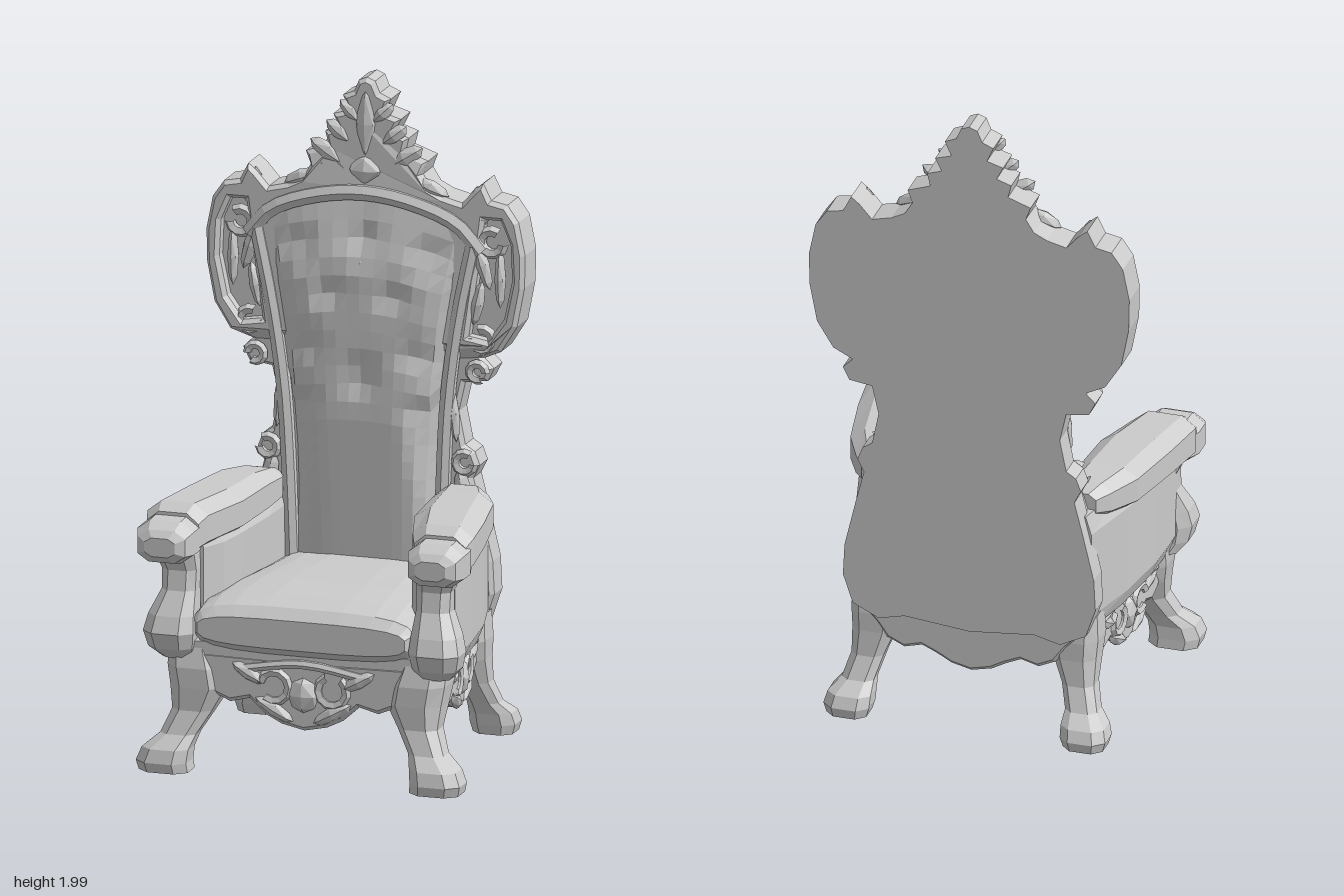
import * as THREE from 'three';

const mat = new THREE.MeshStandardMaterial({ color: 0xcccccc, flatShading: true });
const V = (x, y, z) => new THREE.Vector3(x, y, z);

export function createModel() {
  const model = new THREE.Group();

  function add(name, geo) {
    const g = geo.index ? geo.toNonIndexed() : geo;
    g.computeVertexNormals();
    const m = new THREE.Mesh(g, mat);
    m.name = name;
    model.add(m);
  }

  // Adds a part on the left and its mirror image on the right
  function pair(name, geo) {
    const a = geo.index ? geo.toNonIndexed() : geo;
    const b = a.clone().scale(-1, 1, 1);
    const p = b.attributes.position, t = V(0, 0, 0), u = V(0, 0, 0);
    for (let i = 0; i < p.count; i += 3) {
      t.fromBufferAttribute(p, i + 1);
      u.fromBufferAttribute(p, i + 2);
      p.setXYZ(i + 1, u.x, u.y, u.z);
      p.setXYZ(i + 2, t.x, t.y, t.z);
    }
    add(name + 'Left', a);
    add(name + 'Right', b);
  }

  // Closed skin over rings [position along axis, c1, c2, r1, r2]; pw < 1 makes rings boxier
  function loft(axis, rings, n = 8, pw = 0.7) {
    const pos = [], idx = [], sp = v => Math.sign(v) * Math.abs(v) ** pw;
    const put = (h, a, b) => axis === 'y' ? pos.push(a, h, b) : pos.push(a, b, h);
    for (const [h, c1, c2, r1, r2] of rings) {
      for (let i = 0; i < n; i++) {
        const t = (i + 0.5) / n * Math.PI * 2;
        put(h, c1 + r1 * sp(Math.cos(t)), c2 + r2 * sp(Math.sin(t)) * (axis === 'y' ? -1 : 1));
      }
    }
    const last = rings.length - 1, c0 = n * rings.length;
    for (const r of [rings[0], rings[last]]) put(r[0], r[1], r[2]);
    for (let i = 0; i < n; i++) {
      const j = (i + 1) % n;
      for (let k = 0; k < last; k++) {
        const a = k * n + i, b = k * n + j;
        idx.push(a, b, b + n, a, b + n, a + n);
      }
      idx.push(c0, j, i, c0 + 1, last * n + i, last * n + j);
    }
    const g = new THREE.BufferGeometry();
    g.setAttribute('position', new THREE.Float32BufferAttribute(pos, 3));
    g.setIndex(idx);
    return g;
  }

  const tube = (pts, r, seg = 10) =>
    new THREE.TubeGeometry(new THREE.CatmullRomCurve3(pts.map(p => V(...p))), seg, r, 6);
  const leaf = (x, y, z, w, h, d, rot = 0) =>
    new THREE.OctahedronGeometry(1, 1).scale(w, h, d).rotateZ(rot).translate(x, y, z);
  const scroll = (x, y, z, r, t, start = 0) =>
    new THREE.TorusGeometry(r, t, 5, 9, 5.2).rotateZ(start).translate(x, y, z);
  const shapeOf = half => new THREE.Shape([...half, ...half.slice().reverse()
    .filter(p => p[0] > 0).map(([x, y]) => [-x, y])].map(p => new THREE.Vector2(...p)));

  // Carved back: flat plate with a raised frame pierced by the two wing hollows
  const outline = [[0, 0.32], [0.2, 0.34], [0.28, 0.32], [0.36, 0.36], [0.39, 0.45], [0.385, 0.55],
    [0.35, 0.7], [0.325, 0.8], [0.345, 0.84], [0.33, 0.88], [0.3, 0.9], [0.28, 1.0], [0.3, 1.09], [0.37, 1.1],
    [0.39, 1.14], [0.36, 1.17], [0.42, 1.2], [0.47, 1.28], [0.493, 1.4], [0.495, 1.5], [0.475, 1.6],
    [0.44, 1.65], [0.39, 1.66], [0.365, 1.71], [0.34, 1.69], [0.3, 1.645], [0.24, 1.66], [0.2, 1.68],
    [0.175, 1.72], [0.19, 1.76], [0.12, 1.785], [0.13, 1.825], [0.085, 1.84], [0.105, 1.88], [0.055, 1.895],
    [0.075, 1.94], [0.04, 1.955], [0.025, 1.99], [0, 2.0]];
  add('backPlate', new THREE.ExtrudeGeometry(shapeOf(outline), { depth: 0.072, bevelEnabled: false }).translate(0, 0, -0.345));
  const frame = shapeOf(outline);
  const hollow = [[0.32, 1.24], [0.38, 1.23], [0.43, 1.3], [0.455, 1.42], [0.45, 1.53], [0.42, 1.6], [0.37, 1.6], [0.35, 1.45]];
  for (const s of [1, -1]) frame.holes.push(new THREE.Path(hollow.map(([x, y]) => new THREE.Vector2(s * x, y))));
  const frameGeo = new THREE.ExtrudeGeometry(frame, {
    depth: 0.035, bevelThickness: 0.015, bevelSize: 0.012, bevelOffset: -0.012, bevelSegments: 1,
  }).translate(0, 0, -0.278);
  // The frame is thinner at the waist and crest than at the wings
  const fp = frameGeo.attributes.position;
  for (let i = 0; i < fp.count; i++) {
    const y = fp.getY(i);
    if (fp.getZ(i) > -0.26) fp.setZ(i, fp.getZ(i) - (y < 1.18 ? 0.028 : y > 1.72 ? 0.012 : 0));
  }
  add('backFrame', frameGeo);

  // Back cushion: tapering bolster below, large diamond tufts above
  const buttons = [[0, 1.52], [0.1, 1.36], [-0.1, 1.36], [0, 1.1], [0.2, 1.48], [-0.2, 1.48], [0.17, 1.18], [-0.17, 1.18]];
  const cushion = new THREE.PlaneGeometry(2, 1, 14, 20);
  const cp = cushion.attributes.position;
  for (let i = 0; i < cp.count; i++) {
    const u = cp.getX(i), v = cp.getY(i) + 0.5;
    const w = 0.215 + 0.035 * v + 0.09 * v ** 3;
    const x = u * w, y = 0.53 + v * (1.03 + 0.07 * (1 - u * u));
    const plump = Math.min(1, 0.55 + v * 1.1, 0.35 + (1 - v) * 3.5);
    let z = -0.25 + 0.07 * (1 - u ** 6) * plump;
    const edge = 0.2 - 0.17 * (y - 0.56);
    if (y < 1.05) z -= Math.min(0.022, 0.4 * Math.max(0, Math.abs(x) - edge));
    for (const [bx, by] of buttons) z -= 0.022 * Math.exp(-((x - bx) ** 2 + (y - by) ** 2) / 0.002);
    cp.setXYZ(i, x, y, z);
  }
  add('backCushion', cushion);
  add('cushionTuft', leaf(0, 1.35, -0.206, 0.075, 0.14, 0.025));

  // Mouldings around the cushion
  pair('sideMoulding', tube([[0.23, 0.5, -0.25], [0.24, 0.8, -0.245], [0.255, 1.05, -0.24], [0.29, 1.3, -0.235], [0.335, 1.52, -0.235]], 0.023, 12));
  add('archMoulding', tube([[-0.36, 1.5, -0.24], [-0.29, 1.58, -0.235], [-0.15, 1.635, -0.232], [0, 1.655, -0.23],
    [0.15, 1.635, -0.232], [0.29, 1.58, -0.235], [0.36, 1.5, -0.24]], 0.026, 18));

  // Scrolls and leaves on the wings, waist and crest
  for (const [x, y, r, t, a] of [[0.39, 1.53, 0.035, 0.017, 1], [0.36, 1.23, 0.033, 0.016, 3],
    [0.105, 1.695, 0.042, 0.017, 2], [0.345, 1.13, 0.025, 0.014, 0], [0.305, 0.85, 0.028, 0.015, 1]])
    pair('scroll', scroll(x, y, -0.25, r, t, a));
  for (const [x, y, w, h, rot] of [[0.355, 1.64, 0.03, 0.06, 0.2], [0.36, 1.46, 0.022, 0.08, 0.3], [0.345, 1.34, 0.02, 0.07, -0.2],
    [0.415, 1.42, 0.018, 0.09, 0], [0.29, 1.59, 0.03, 0.07, 1], [0.12, 1.765, 0.028, 0.065, -1], [0.085, 1.83, 0.025, 0.05, -0.9],
    [0.05, 1.895, 0.022, 0.045, -0.8], [0.27, 1.0, 0.018, 0.09, 0.1], [0.31, 0.72, 0.03, 0.12, 0.2], [0.2, 1.68, 0.025, 0.06, 1.2]])
    pair('leaf', leaf(x, y, -0.25, w, h, 0.022, rot));
  add('crestLeaf', leaf(0, 1.86, -0.25, 0.035, 0.12, 0.025));
  add('crestShell', leaf(0, 1.72, -0.25, 0.06, 0.05, 0.035));

  // Seat cushion, crowned in the middle, and the deck under it
  add('seatCushion', loft('z', [[-0.27, 0, 0.465, 0.27, 0.08], [-0.1, 0, 0.46, 0.29, 0.09], [0.1, 0, 0.46, 0.33, 0.092],
    [0.25, 0, 0.455, 0.345, 0.09], [0.33, 0, 0.452, 0.345, 0.075], [0.36, 0, 0.45, 0.325, 0.045]], 20, 0.58));
  add('seatDeck', loft('z', [[-0.3, 0, 0.37, 0.34, 0.04], [0.29, 0, 0.37, 0.41, 0.04], [0.335, 0, 0.37, 0.39, 0.035]], 12, 0.3));

  // Scalloped aprons on all four sides
  function apron(width, drop) {
    const s = width / 0.4;
    const half = [[0, 0.32 - drop], [0.07, 0.335 - drop], [0.12, 0.36 - drop], [0.17, 0.24], [0.23, 0.225], [0.29, 0.25], [0.33, 0.3], [0.4, 0.37]];
    return new THREE.ExtrudeGeometry(shapeOf([...half.map(([x, y]) => [x * s, y]), [0, 0.37]]), {
      depth: 0.025, bevelThickness: 0.012, bevelSize: 0.012, bevelOffset: -0.012, bevelSegments: 1,
    });
  }
  add('frontApron', apron(0.4, 0.165).translate(0, 0, 0.3));
  add('backApron', apron(0.36, 0.14).translate(0, 0, -0.32));
  pair('sideApron', apron(0.3, 0.145).rotateY(1.69).translate(0.345, 0, 0.01));

  // Carving on the side aprons, then on the front
  const onSide = g => g.rotateY(1.69).translate(0.345, 0, 0.01);
  for (const s of [1, -1]) {
    pair('apronScroll', onSide(scroll(s * 0.075, 0.28, 0.035, 0.04, 0.015, s > 0 ? 2 : 4)));
    pair('apronLeaf', onSide(leaf(s * 0.155, 0.31, 0.03, 0.065, 0.024, 0.022, s * 0.5)));
    pair('apronLeaf', onSide(leaf(s * 0.07, 0.215, 0.03, 0.06, 0.022, 0.022, s * 0.5)));
    add('frontScroll', scroll(s * 0.09, 0.285, 0.335, 0.045, 0.015, s > 0 ? 2 : 4));
    add('frontLeaf', leaf(s * 0.17, 0.32, 0.335, 0.06, 0.022, 0.022, s * 0.5));
    add('frontLeaf', leaf(s * 0.09, 0.215, 0.335, 0.07, 0.022, 0.022, s * 0.5));
  }
  pair('apronShell', onSide(leaf(0, 0.27, 0.035, 0.04, 0.055, 0.025)));
  pair('apronTrim', onSide(tube([[-0.19, 0.33, 0.035], [0, 0.355, 0.04], [0.19, 0.33, 0.035]], 0.014, 6)));
  add('frontShell', leaf(0, 0.265, 0.335, 0.05, 0.055, 0.028));
  add('frontTrim', tube([[-0.2, 0.33, 0.335], [0, 0.36, 0.34], [0.2, 0.33, 0.335]], 0.014, 8));

  // Cabriole legs with block feet
  pair('frontLeg', loft('y', [[0.01, 0.42, 0.35, 0.08, 0.066], [0.04, 0.425, 0.355, 0.082, 0.069], [0.08, 0.415, 0.35, 0.076, 0.063],
    [0.12, 0.385, 0.325, 0.058, 0.05], [0.19, 0.35, 0.295, 0.065, 0.057], [0.26, 0.335, 0.275, 0.09, 0.08], [0.32, 0.345, 0.265, 0.09, 0.09], [0.4, 0.36, 0.25, 0.075, 0.085]]));
  pair('backLeg', loft('y', [[0.01, 0.365, -0.36, 0.065, 0.06], [0.04, 0.365, -0.36, 0.074, 0.066], [0.075, 0.36, -0.35, 0.07, 0.06],
    [0.11, 0.345, -0.32, 0.052, 0.045], [0.18, 0.325, -0.285, 0.052, 0.05], [0.26, 0.31, -0.26, 0.07, 0.07], [0.32, 0.31, -0.25, 0.075, 0.08], [0.4, 0.32, -0.25, 0.06, 0.07]]));

  // Arms: thick panel, rounded pad, lower curled hand rest and scrolled post
  pair('armPanel', loft('z', [[-0.3, 0.305, 0.54, 0.06, 0.2], [-0.1, 0.335, 0.54, 0.083, 0.2], [0.1, 0.357, 0.54, 0.088, 0.2],
    [0.2, 0.37, 0.54, 0.08, 0.195], [0.27, 0.39, 0.54, 0.06, 0.19]], 8, 0.4));
  pair('armPad', loft('z', [[-0.25, 0.31, 0.745, 0.055, 0.04], [-0.2, 0.32, 0.742, 0.08, 0.058], [-0.1, 0.348, 0.74, 0.102, 0.07],
    [0.1, 0.375, 0.737, 0.115, 0.074], [0.27, 0.412, 0.73, 0.1, 0.078], [0.31, 0.415, 0.715, 0.085, 0.07]]));
  pair('handRest', loft('z', [[0.25, 0.418, 0.71, 0.08, 0.065], [0.3, 0.42, 0.705, 0.092, 0.07], [0.36, 0.42, 0.705, 0.092, 0.068],
    [0.4, 0.42, 0.7, 0.078, 0.052], [0.418, 0.42, 0.7, 0.05, 0.03]]));
  pair('armPost', loft('y', [[0.345, 0.4, 0.29, 0.05, 0.05], [0.38, 0.41, 0.315, 0.072, 0.066], [0.43, 0.412, 0.325, 0.082, 0.075],
    [0.48, 0.408, 0.315, 0.074, 0.066], [0.55, 0.395, 0.29, 0.055, 0.05], [0.61, 0.395, 0.285, 0.056, 0.045], [0.68, 0.41, 0.3, 0.07, 0.06]]));

  return model;
}
